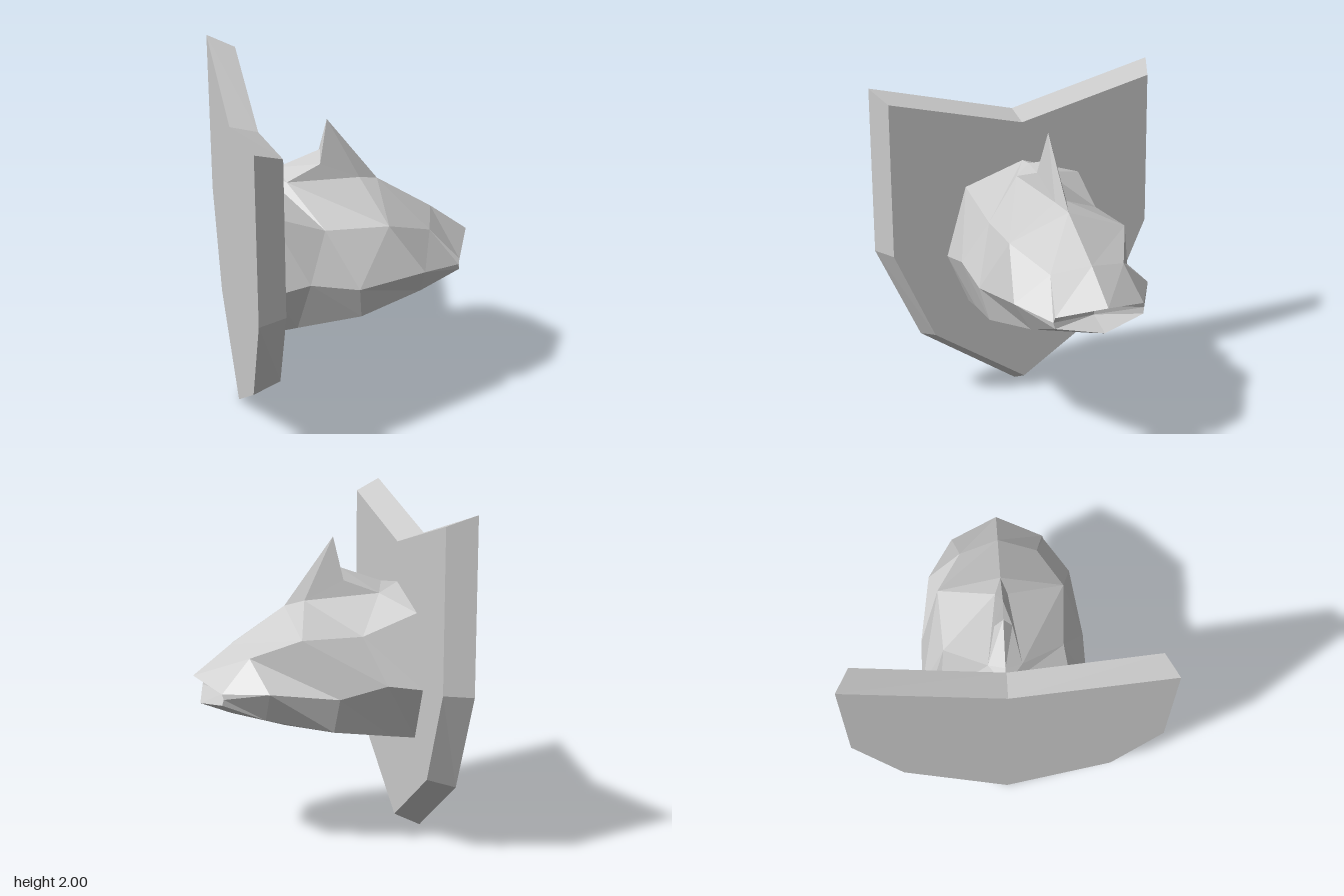
import * as THREE from 'three';

const material = new THREE.MeshStandardMaterial({ color: 0xcccccc, flatShading: true });

// Flat-shaded mesh from polygons (lists of corner points, counter-clockwise)
function facetMesh(name, polygons) {
  const pos = [];
  for (const p of polygons) {
    for (let i = 1; i < p.length - 1; i++) pos.push(...p[0], ...p[i], ...p[i + 1]);
  }
  const geo = new THREE.BufferGeometry();
  geo.setAttribute('position', new THREE.Float32BufferAttribute(pos, 3));
  geo.computeVertexNormals();
  const mesh = new THREE.Mesh(geo, material);
  mesh.name = name;
  return mesh;
}

// Add the other half, mirrored across z = 0
const mirrored = (polys) => [
  ...polys,
  ...polys.map((p) => p.map(([x, y, z]) => [x, y, -z]).reverse()),
];

// Bevelled shield: the small front outline joined to the larger back outline
function shield() {
  const back = [[2, 0.89], [1, 0.89], [0.415, 0.62], [0, 0]];
  const front = [[1.935, 0.825], [1.005, 0.825], [0.46, 0.58], [0.08, 0]];
  const xb = -0.69, xf = -0.53;
  const b = [[xb, 1.78, 0], ...back.map(([y, z]) => [xb, y, z])];
  const f = [[xf, 1.735, 0], ...front.map(([y, z]) => [xf, y, z])];
  const polys = [];
  for (let i = 0; i < b.length - 1; i++) {
    polys.push([b[i], b[i + 1], f[i + 1], f[i]]);     // bevelled rim
    polys.push([[xf, 1, 0], f[i], f[i + 1]]);         // front face
    polys.push([[xb, 1, 0], b[i + 1], b[i]]);         // back face
  }
  return facetMesh('shieldPlaque', mirrored(polys));
}

export function createModel() {
  const group = new THREE.Group();
  group.name = 'mountedHead';
  group.add(shield());

  // Lengthwise lines of the half head, from the crown down to the chin
  const crown = [[-0.53, 1.5, 0], [-0.39, 1.455, 0.095], [0.04, 1.42, 0.035],
    [0.15, 1.39, 0], [0.47, 1.18, 0], [0.69, 1.01, 0]];
  const brow = [[-0.53, 1.38, 0.365], [-0.22, 1.255, 0.34], [0.14, 1.255, 0.36],
    [0.14, 1.255, 0.36], [0.41, 1.14, 0.225], [0.58, 0.955, 0.27]];
  const cheek = [[-0.53, 0.96, 0.49], [-0.33, 0.99, 0.473], [-0.05, 0.93, 0.473],
    [-0.05, 0.93, 0.473], [0.34, 0.97, 0.415], [0.572, 0.925, 0.278]];
  const jaw = [[-0.53, 0.65, 0.36], [-0.39, 0.67, 0.37], [-0.03, 0.73, 0.42],
    [-0.03, 0.73, 0.42], [0.34, 0.8, 0.315], [0.58, 0.89, 0.27]];
  const chin = [[-0.53, 0.58, 0], [-0.39, 0.61, 0], [0.15, 0.68, 0],
    [0.15, 0.68, 0], [0.47, 0.775, 0], [0.65, 0.845, 0]];
  const rows = [crown, brow, cheek, jaw, chin];
  const skin = [];
  for (let r = 0; r < rows.length - 1; r++) {
    const a = rows[r], b = rows[r + 1];
    for (let i = 0; i < a.length - 1; i++) {
      skin.push([a[i], b[i], b[i + 1], a[i + 1]].filter(
        (p, k, q) => k === 0 || p.join() !== q[k - 1].join()));
    }
  }
  group.add(facetMesh('head', mirrored(skin)));

  // Pointed fin with a raised ridge behind it
  const tip = [-0.14, 1.78, 0], nape = [-0.43, 1.51, 0], ridge = [-0.18, 1.6, 0];
  const notch = [-0.19, 1.53, 0.05];
  group.add(facetMesh('fin', mirrored([
    [crown[0], crown[1], nape],
    [nape, crown[1], notch, ridge],
    [ridge, notch, tip],
    [crown[1], crown[2], notch],
    [notch, crown[2], tip],
    [crown[2], crown[3], tip],
  ])));

  // Shallow open mouth
  const palate = [0.5, 0.955, 0], floor = [0.5, 0.9, 0];
  const upperLip = brow[5], corner = cheek[5], lowerLip = jaw[5];
  group.add(facetMesh('mouth', mirrored([
    [palate, crown[5], upperLip],
    [palate, upperLip, corner],
    [palate, corner, floor],
    [floor, corner, lowerLip],
    [floor, lowerLip, chin[5]],
  ])));

  return group;
}
